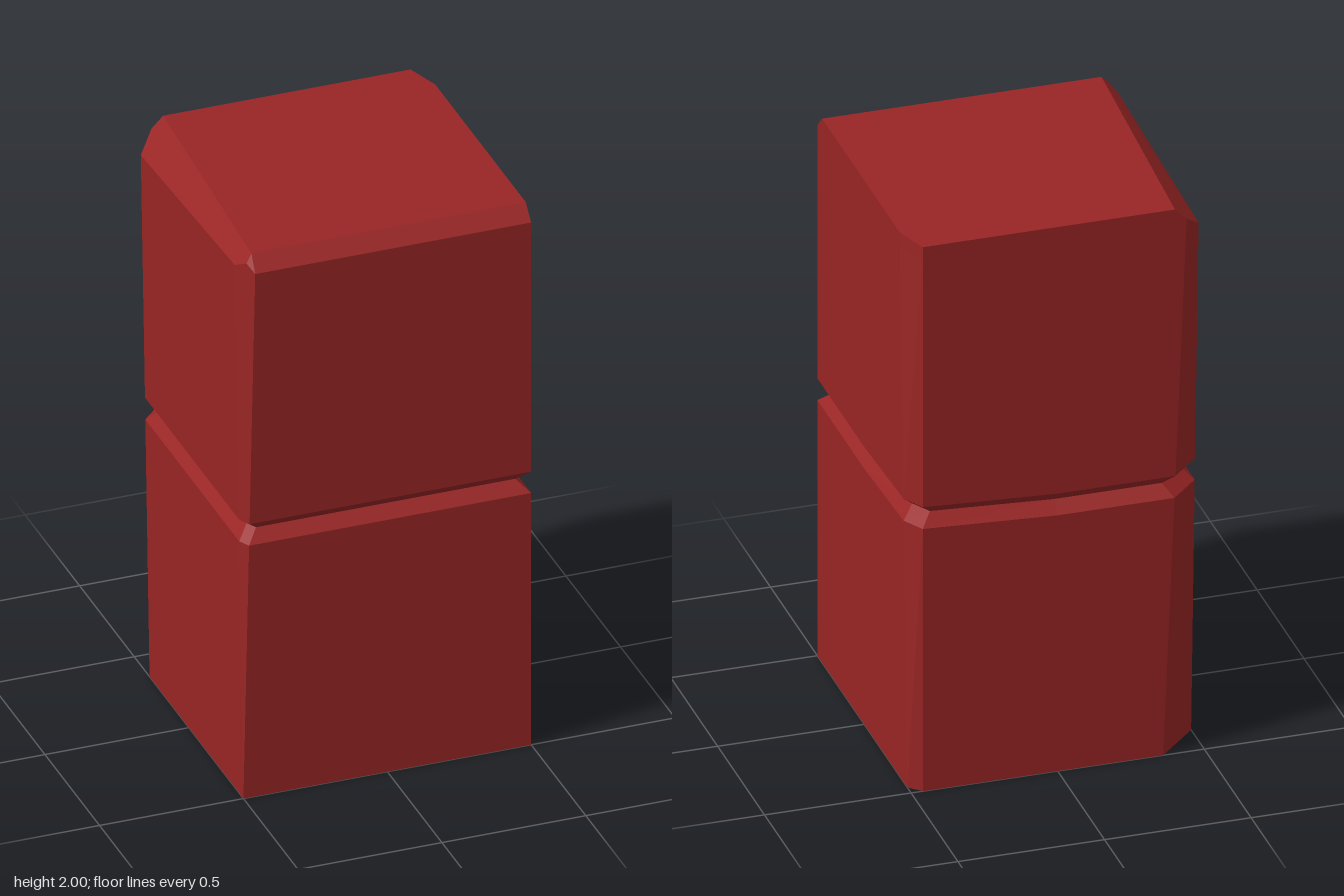
import * as THREE from 'three';

const red = new THREE.MeshStandardMaterial({ color: 0x992525 });
red.name = 'brick red';
red.flatShading = true;

const H = 0.5; // half width of the square plan

// One horizontal outline, counter-clockwise from the front corner at -x.
// Corner chamfers change with height; lift(i) shifts single points up or down.
function ring(y, scale = 1, lift = () => 0) {
  const fx = 0.021 * y, fz = 0.041 * y; // front corner at -x
  const bz = 0.04 + 0.041 * y;          // back corner at +x
  const b = 0.14 - 0.041 * y;           // back corner at -x
  return [
    [-H, H - fz], [-H + fx * 0.57, H - fz * 0.43], [-H + fx, H],
    [H, H], [H, 0],
    [H, -H + bz], [H - 0.04, -H],
    [0, -H], [-H + b, -H], [-H, -H + b],
  ].map(([x, z], i) => new THREE.Vector3(x * scale, y + lift(i), z * scale));
}

// Skin between successive outlines, with optional flat caps
function loft(rings, { bottom = false, top = false } = {}) {
  const pos = [];
  const tri = (a, b, c) => {
    if (new THREE.Triangle(a, b, c).getArea() < 1e-9) return;
    for (const p of [a, b, c]) pos.push(p.x, p.y, p.z);
  };
  for (let r = 0; r < rings.length - 1; r++) {
    const lo = rings[r], hi = rings[r + 1];
    lo.forEach((p, i) => {
      const j = (i + 1) % lo.length;
      tri(p, lo[j], hi[j]);
      tri(p, hi[j], hi[i]);
    });
  }
  const cap = (pts, up) => {
    const c = new THREE.Vector3(0, pts[0].y, 0);
    pts.forEach((p, i) => {
      const q = pts[(i + 1) % pts.length];
      up ? tri(c, p, q) : tri(c, q, p);
    });
  };
  if (bottom) cap(rings[0], false);
  if (top) cap(rings[rings.length - 1], true);
  const g = new THREE.BufferGeometry();
  g.setAttribute('position', new THREE.Float32BufferAttribute(pos, 3));
  g.computeVertexNormals();
  return g;
}

export function createModel() {
  const group = new THREE.Group();
  group.name = 'stackedBlocks';
  const add = (name, geometry) => {
    const mesh = new THREE.Mesh(geometry, red);
    mesh.name = name;
    group.add(mesh);
  };

  // V-shaped joint, rising toward the back corner at +x
  const rise = (i) => (i === 5 ? 0.021 : i === 6 ? 0.024 : 0);
  const joint = ring(0.98, 0.92, rise);

  add('lowerBlock', loft([ring(0), ring(0.94, 1, rise), joint], { bottom: true }));

  // Upper block: bevelled top edges at the front and at -x
  const bevelLift = { 1: 0.025, 8: 0.01, 9: -0.045 };
  const shoulder = ring(1.95, 1, (i) => bevelLift[i] ?? 0);
  const topRing = ring(1.95).map((p, i) => {
    if (i < 3) p.set(-0.453, 2, 0.45);
    else if (i === 3) p.set(H, 2, 0.45);
    else if (i > 7) p.set(-0.4, 2, -H);
    p.y = 2;
    return p;
  });
  add('upperBlock', loft([joint, ring(1.02, 1, rise), shoulder, topRing], { top: true }));

  return group;
}
